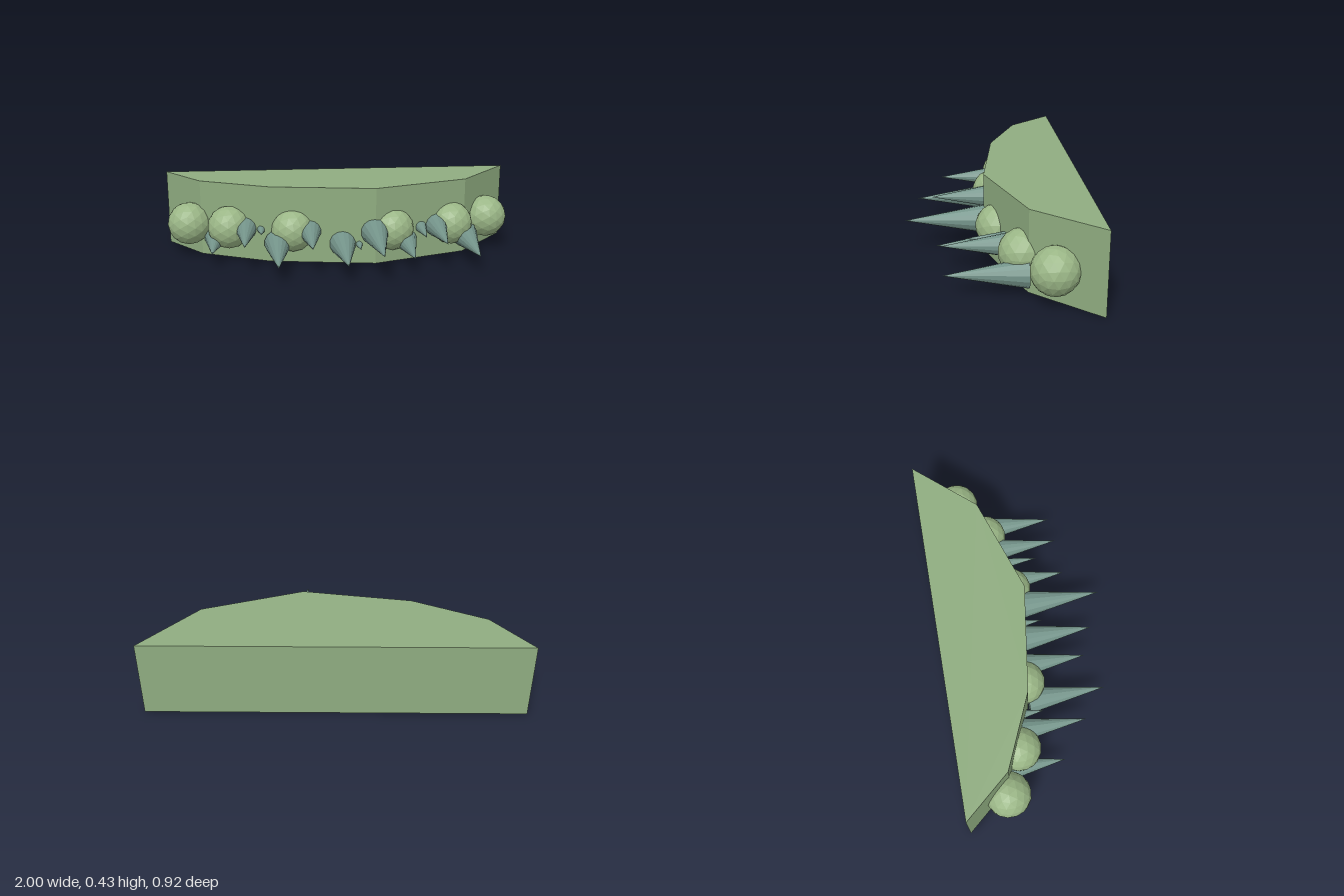
import * as THREE from 'three';

const material = (name, color) => {
  const m = new THREE.MeshStandardMaterial({ color, flatShading: true });
  m.name = name;
  return m;
};

export function createModel() {
  const group = new THREE.Group();
  const bodyMat = material('moss green', 0x8fac80);
  const bulbMat = material('light green', 0x9ab686);
  const spikeMat = material('grey teal', 0x74948a);

  const add = (name, geometry, mat, x = 0, y = 0, z = 0) => {
    const mesh = new THREE.Mesh(geometry, mat);
    mesh.name = name;
    mesh.position.set(x, y, z);
    group.add(mesh);
  };

  // Faceted slab: plan outline [x, z] raised to the full height
  const outline = [[-1, -0.465], [-0.79, -0.22], [-0.4, -0.05], [0.18, 0.035], [0.71, -0.14], [1, -0.465]];
  const shape = new THREE.Shape(outline.map(([x, z]) => new THREE.Vector2(x, -z)));
  const slab = new THREE.ExtrudeGeometry(shape, { depth: 0.43, bevelEnabled: false });
  slab.rotateX(-Math.PI / 2);
  add('slab', slab, bodyMat);

  // Round bulbs along the front: [x, z]
  const bulb = new THREE.IcosahedronGeometry(0.121, 2);
  [[-0.86, -0.235], [-0.63, -0.14], [-0.275, -0.055], [0.28, -0.035], [0.63, -0.12], [0.86, -0.247]]
    .forEach(([x, z]) => add('bulb', bulb, bulbMat, x, 0.18, z));

  // Forward-pointing spikes: [x, y, base z, tip z, radius]
  const spikes = [
    [-0.715, 0.1, -0.2, 0.1, 0.06],
    [-0.535, 0.18, -0.11, 0.245, 0.062],
    [-0.45, 0.18, -0.1, 0.03, 0.027],
    [-0.36, 0.11, -0.04, 0.385, 0.075],
    [-0.18, 0.18, -0.06, 0.305, 0.07],
    [0, 0.11, -0.015, 0.385, 0.077],
    [0.09, 0.11, -0.015, 0.12, 0.025],
    [0.175, 0.18, 0.02, 0.455, 0.077],
    [0.36, 0.11, -0.08, 0.295, 0.07],
    [0.445, 0.18, -0.08, 0.15, 0.036],
    [0.535, 0.18, -0.1, 0.275, 0.067],
    [0.715, 0.105, -0.142, 0.275, 0.075],
  ];
  for (const [x, y, base, tip, radius] of spikes) {
    const cone = new THREE.ConeGeometry(radius, tip - base, 14);
    cone.rotateX(Math.PI / 2);
    add('spike', cone, spikeMat, x, y, (base + tip) / 2);
  }
  return group;
}
